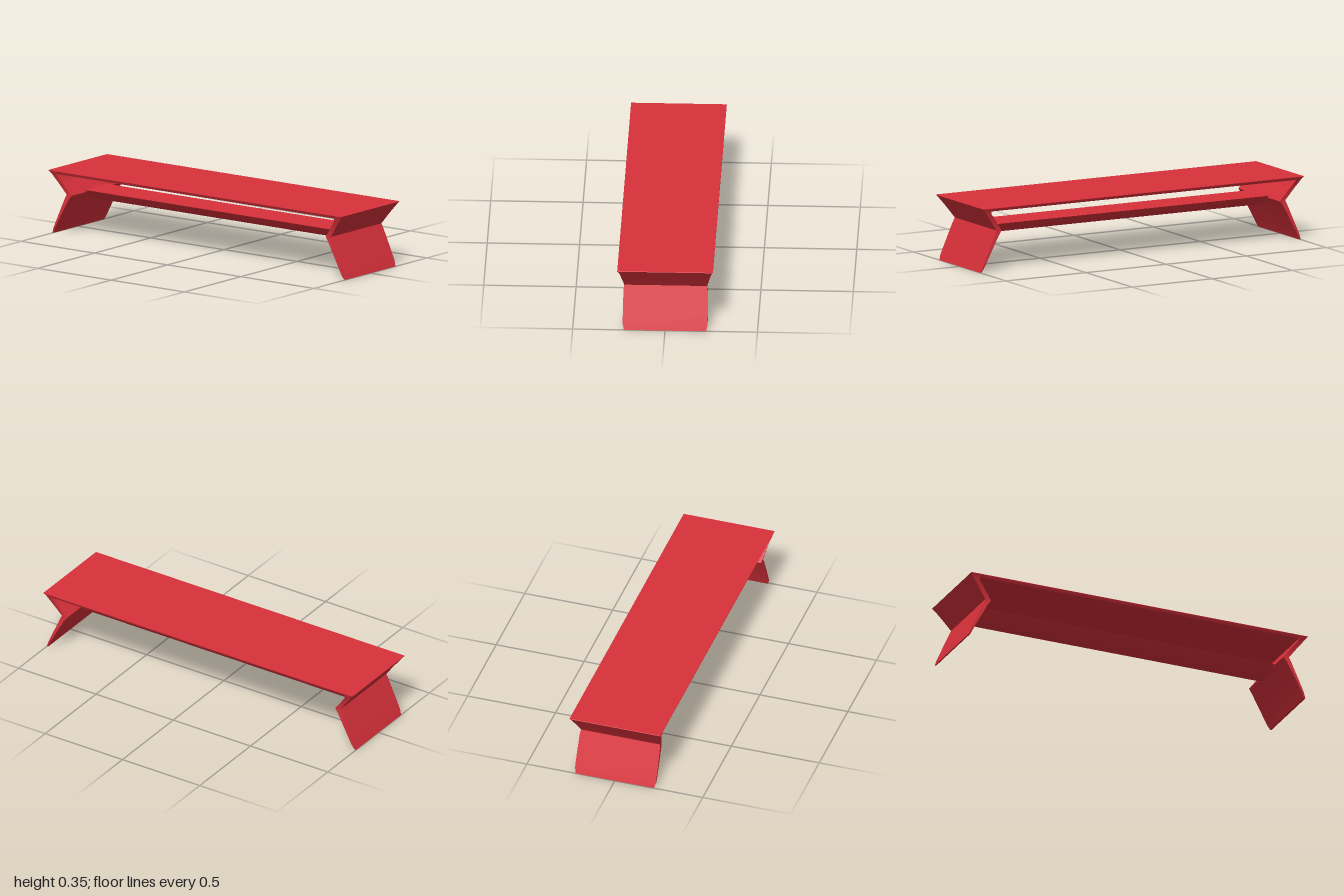
import * as THREE from 'three';
import { toCreasedNormals } from 'three/addons/utils/BufferGeometryUtils.js';

const red = new THREE.MeshStandardMaterial({ color: 0xd8303a, side: THREE.DoubleSide });

// Skin a solid through closed rings of [x, y, z] points, with capped ends
function loft(rings) {
  const n = rings[0].length, index = [];
  for (let i = 0; i < rings.length - 1; i++) {
    for (let j = 0; j < n; j++) {
      const a = i * n + j, b = i * n + (j + 1) % n;
      index.push(a, b, b + n, a, b + n, a + n);
    }
  }
  const last = (rings.length - 1) * n;
  for (let j = 1; j < n - 1; j++) {
    index.push(0, j + 1, j, last, last + j, last + j + 1);
  }
  const g = new THREE.BufferGeometry();
  g.setAttribute('position', new THREE.Float32BufferAttribute(rings.flat(2), 3));
  g.setIndex(index);
  return toCreasedNormals(g, 0.5);
}

function part(name, geometry) {
  const mesh = new THREE.Mesh(geometry, red);
  mesh.name = name;
  return mesh;
}

export function createModel() {
  const group = new THREE.Group();
  group.name = 'table';

  // Thin top with a slightly undercut edge
  const rect = (w, y, d) => [[-w, y, d], [w, y, d], [w, y, -d], [-w, y, -d]];
  group.add(part('tableTop', loft([
    rect(0.965, 0.337, 0.25), rect(0.992, 0.347, 0.256), rect(1, 0.353, 0.259), rect(0.998, 0.355, 0.258),
  ])));

  // Bent leg panels: outer x, y, inner x, y, half depth, from foot to top
  const bend = [
    [1, 0, 0.99, 0.002, 0.222],
    [0.988, 0.03, 0.977, 0.03, 0.23],
    [0.957, 0.1, 0.94, 0.1, 0.23],
    [0.913, 0.2, 0.888, 0.195, 0.228],
    [0.902, 0.225, 0.868, 0.222, 0.224],
    [0.948, 0.288, 0.912, 0.28, 0.238],
    [0.986, 0.336, 0.945, 0.322, 0.249],
    [0.998, 0.352, 0.95, 0.342, 0.257],
  ];
  const legGeometry = loft(bend.map(([ox, oy, ix, iy, d]) =>
    [[ix, iy, d], [ox, oy, d], [ox, oy, -d], [ix, iy, -d]]));
  for (const side of ['left', 'right']) {
    const leg = part(side + 'Leg', legGeometry);
    if (side === 'right') leg.rotation.y = Math.PI;
    group.add(leg);
  }

  // Stretcher: tapered rounded keel whose underside curves up at each end
  const half = [[0.1, 0.233], [0.085, 0.218], [0.052, 0.19], [0.025, 0.176]];
  const profile = [...half, ...half.map(([z, y]) => [-z, y]).reverse()];
  const ends = [[0.89, 0.4], [0.872, 0.72], [0.855, 0.93], [0.83, 1]];
  const stations = [...ends.map(([x, s]) => [-x, s]), ...ends.slice().reverse()];
  group.add(part('stretcher', loft(stations.map(([x, s]) =>
    profile.map(([z, y]) => [x, 0.233 + (y - 0.233) * s, z]).reverse()))));

  return group;
}
